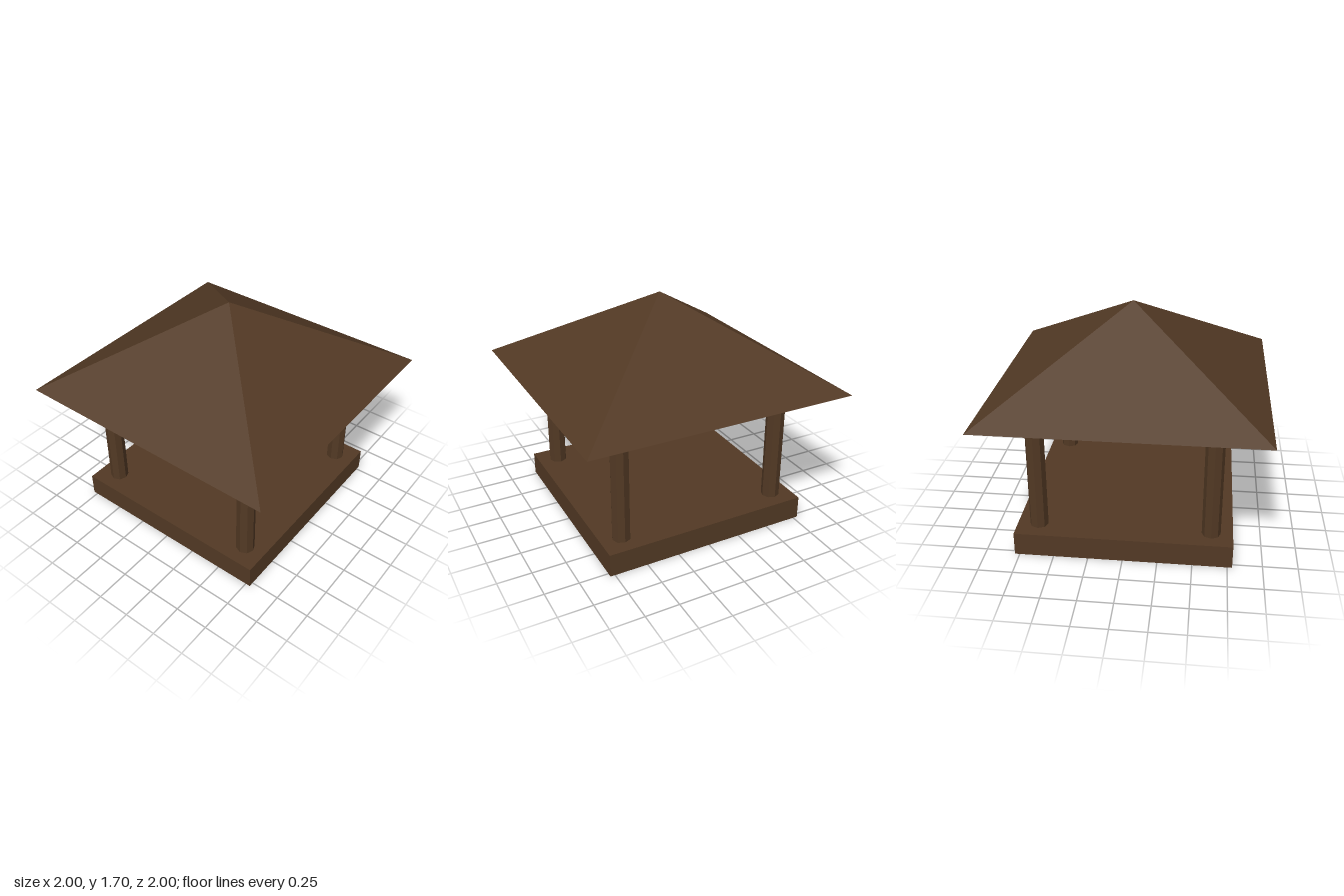
import * as THREE from 'three';

const BASE_HEIGHT = 0.174;
const EAVES = 1.075;
const PEAK = 1.697;

export function createModel() {
  const model = new THREE.Group();
  model.name = 'pavilion';

  const wood = new THREE.MeshStandardMaterial({ color: 0x523924, flatShading: true });
  wood.name = 'dark brown wood';

  const add = (name, geometry, x, y, z) => {
    const mesh = new THREE.Mesh(geometry, wood);
    mesh.name = name;
    mesh.position.set(x, y, z);
    model.add(mesh);
  };

  // Square floor slab
  add('base', new THREE.BoxGeometry(1.57, BASE_HEIGHT, 1.57), 0, BASE_HEIGHT / 2, 0);

  // Four octagonal corner posts
  const postHeight = EAVES - BASE_HEIGHT;
  const post = new THREE.CylinderGeometry(0.068, 0.068, postHeight, 8);
  for (const [front, z] of [['front', 0.628], ['back', -0.628]]) {
    for (const [side, x] of [['Left', 0.628], ['Right', -0.628]]) {
      add(`${front}${side}Post`, post, x, BASE_HEIGHT + postHeight / 2, z);
    }
  }

  // Four-sided pyramid roof with a closed underside
  const roofHeight = PEAK - EAVES;
  const roof = new THREE.ConeGeometry(Math.SQRT2, roofHeight, 4).rotateY(Math.PI / 4);
  add('roof', roof, 0, EAVES + roofHeight / 2, 0);

  return model;
}
